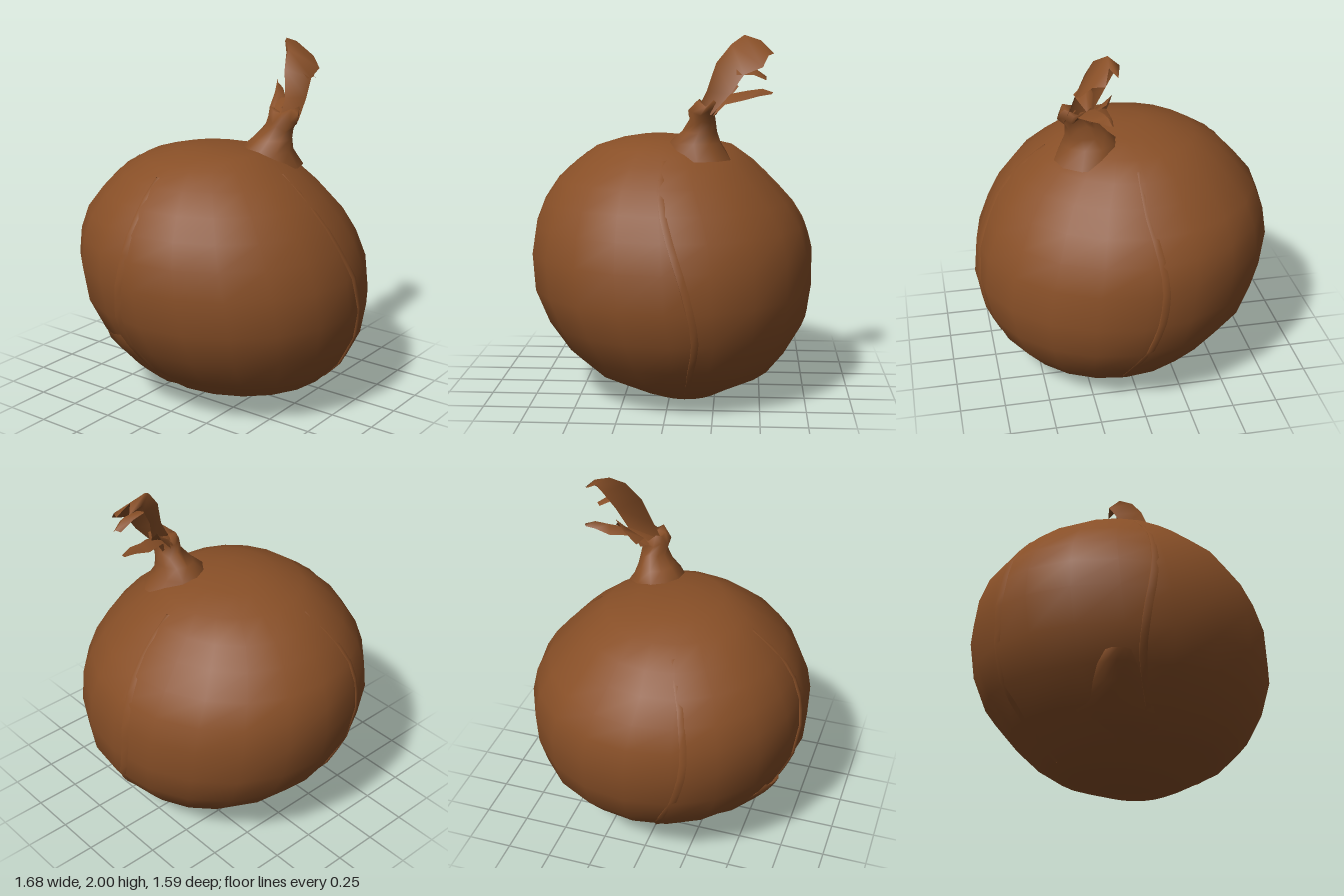
import * as THREE from 'three';

// Cross-sections: [y, xMin, xMax, zMin, zMax]
const BULB = [
  [0.005, 0.1, 0.1, -0.08, -0.08],
  [0.0, -0.08, 0.31, -0.27, 0.1],
  [0.04, -0.32, 0.41, -0.36, 0.22],
  [0.14, -0.45, 0.6, -0.56, 0.44],
  [0.26, -0.59, 0.72, -0.66, 0.58],
  [0.42, -0.73, 0.8, -0.76, 0.7],
  [0.6, -0.81, 0.84, -0.79, 0.78],
  [0.8, -0.84, 0.82, -0.79, 0.8],
  [0.95, -0.82, 0.76, -0.75, 0.78],
  [1.08, -0.77, 0.69, -0.67, 0.73],
  [1.2, -0.67, 0.59, -0.56, 0.65],
  [1.3, -0.57, 0.47, -0.46, 0.54],
  [1.38, -0.43, 0.35, -0.35, 0.43],
  [1.425, -0.27, 0.25, -0.18, 0.29],
  [1.442, -0.15, 0.08, -0.02, 0.18],
  [1.443, -0.03, -0.03, 0.08, 0.08],
];
const NECK = [
  [1.33, 0.03, 0.39, -0.34, 0.03],
  [1.42, 0.04, 0.345, -0.28, 0.01],
  [1.48, 0.1, 0.33, -0.26, -0.06],
  [1.54, 0.16, 0.33, -0.25, -0.11],
  [1.59, 0.19, 0.37, -0.24, -0.1],
  [1.64, 0.18, 0.355, -0.27, -0.13],
  [1.62, 0.22, 0.31, -0.23, -0.17],
];

const onRing = ([y, x0, x1, z0, z1], t, off = 0) => [
  (x0 + x1) / 2 + ((x1 - x0) / 2 + off) * Math.cos(t), y,
  (z0 + z1) / 2 + ((z1 - z0) / 2 + off) * Math.sin(t)];

// Point on the bulb's skin at height y and angle t
function onBulb(y, t, off) {
  let i = 1;
  while (i < BULB.length - 2 && BULB[i + 1][0] < y) i++;
  const a = BULB[i], b = BULB[i + 1], k = (y - a[0]) / (b[0] - a[0]);
  return onRing(a.map((v, n) => v + (b[n] - v) * k), t, off);
}

// Skin a grid of points; closed grids wrap around
function skin(rows, closed) {
  const n = rows[0].length, index = [];
  for (let i = 0; i < rows.length - 1; i++) {
    for (let j = 0; j < (closed ? n : n - 1); j++) {
      const k = (j + 1) % n, a = i * n + j, b = i * n + k, c = a + n, d = b + n;
      index.push(a, c, b, b, c, d);
    }
  }
  const g = new THREE.BufferGeometry();
  g.setAttribute('position', new THREE.Float32BufferAttribute(rows.flat(2), 3));
  g.setIndex(index);
  g.computeVertexNormals();
  return g;
}

function loft(sections, sides, ragged = 0) {
  return skin(sections.map((s, i) => Array.from({ length: sides }, (_, j) => {
    const p = onRing(s, (j / sides) * Math.PI * 2);
    if (i > 2) p[1] += ragged * Math.sin(j * 2.4 + i);
    return p;
  })), true);
}

export function createModel() {
  const group = new THREE.Group();
  const brown = new THREE.MeshStandardMaterial({ color: 0x884f27, side: THREE.DoubleSide });
  brown.name = 'onion skin brown';
  const add = (name, geometry) => {
    const mesh = new THREE.Mesh(geometry, brown);
    mesh.name = name;
    group.add(mesh);
  };

  add('bulb', loft(BULB, 20));
  add('neck', loft(NECK, 10, 0.018));

  // Overlapping skin edges running from the neck to the root
  [1.72, 2.85, 4.7, 6.2].forEach((angle, n) => {
    const rows = [];
    for (let i = 0; i <= 14; i++) {
      const y = 0.08 + i * 0.09, t = angle + 0.08 * Math.sin(i * 0.4 + n);
      rows.push([onBulb(y, t - 0.05, -0.004), onBulb(y, t, 0.006), onBulb(y, t + 0.003, -0.01)]);
    }
    add('skinSeam' + (n + 1), skin(rows, false));
  });

  // Torn flap of skin low on the front: [y, start angle, end angle]
  const flap = [[0.05, 1.62, 2.0], [0.17, 1.62, 2.15], [0.24, 1.7, 2.35],
    [0.34, 1.77, 2.15], [0.42, 1.82, 2.08], [0.48, 1.85, 2.02]];
  add('tornSkin', skin(flap.map(([y, a, b]) => [0, 0.25, 0.5, 0.75, 1].map(
    (k) => onBulb(y, a + (b - a) * k, k === 0 || k === 1 ? -0.005 : 0.02))), false));

  // Dry leaves: each row gives one edge, the fold and the other edge
  add('tallLeaf', skin([
    [[0.2, 1.57, -0.25], [0.27, 1.56, -0.13], [0.34, 1.58, -0.23]],
    [[0.2, 1.68, -0.32], [0.27, 1.7, -0.2], [0.325, 1.69, -0.33]],
    [[0.15, 1.81, -0.37], [0.23, 1.85, -0.25], [0.31, 1.79, -0.4]],
    [[0.12, 1.91, -0.43], [0.2, 1.95, -0.33], [0.3, 1.83, -0.5]],
    [[0.09, 1.97, -0.46], [0.14, 2.0, -0.4], [0.24, 1.89, -0.53]],
    [[0.11, 1.93, -0.53], [0.15, 1.97, -0.49], [0.18, 1.9, -0.56]],
  ], false));
  add('tallLeafCurl', skin([
    [[0.31, 1.79, -0.36], [0.27, 1.83, -0.36], [0.23, 1.83, -0.33]],
    [[0.3, 1.79, -0.45], [0.26, 1.83, -0.45], [0.22, 1.82, -0.42]],
    [[0.27, 1.76, -0.52], [0.25, 1.78, -0.52], [0.23, 1.77, -0.5]],
  ], false));
  add('lowLeaf', skin([
    [[0.17, 1.6, -0.2], [0.23, 1.63, -0.18], [0.3, 1.57, -0.24]],
    [[0.13, 1.67, -0.3], [0.2, 1.68, -0.31], [0.28, 1.63, -0.3]],
    [[0.12, 1.66, -0.4], [0.17, 1.7, -0.42], [0.23, 1.65, -0.4]],
    [[0.13, 1.68, -0.49], [0.16, 1.71, -0.5], [0.19, 1.67, -0.48]],
    [[0.14, 1.68, -0.55], [0.15, 1.69, -0.56], [0.16, 1.68, -0.55]],
  ], false));
  add('smallLeaf', skin([
    [[0.13, 1.62, -0.25], [0.18, 1.64, -0.22], [0.22, 1.6, -0.26]],
    [[0.12, 1.7, -0.32], [0.15, 1.7, -0.3], [0.19, 1.67, -0.33]],
    [[0.11, 1.77, -0.36], [0.12, 1.75, -0.35], [0.14, 1.72, -0.37]],
  ], false));
  return group;
}
